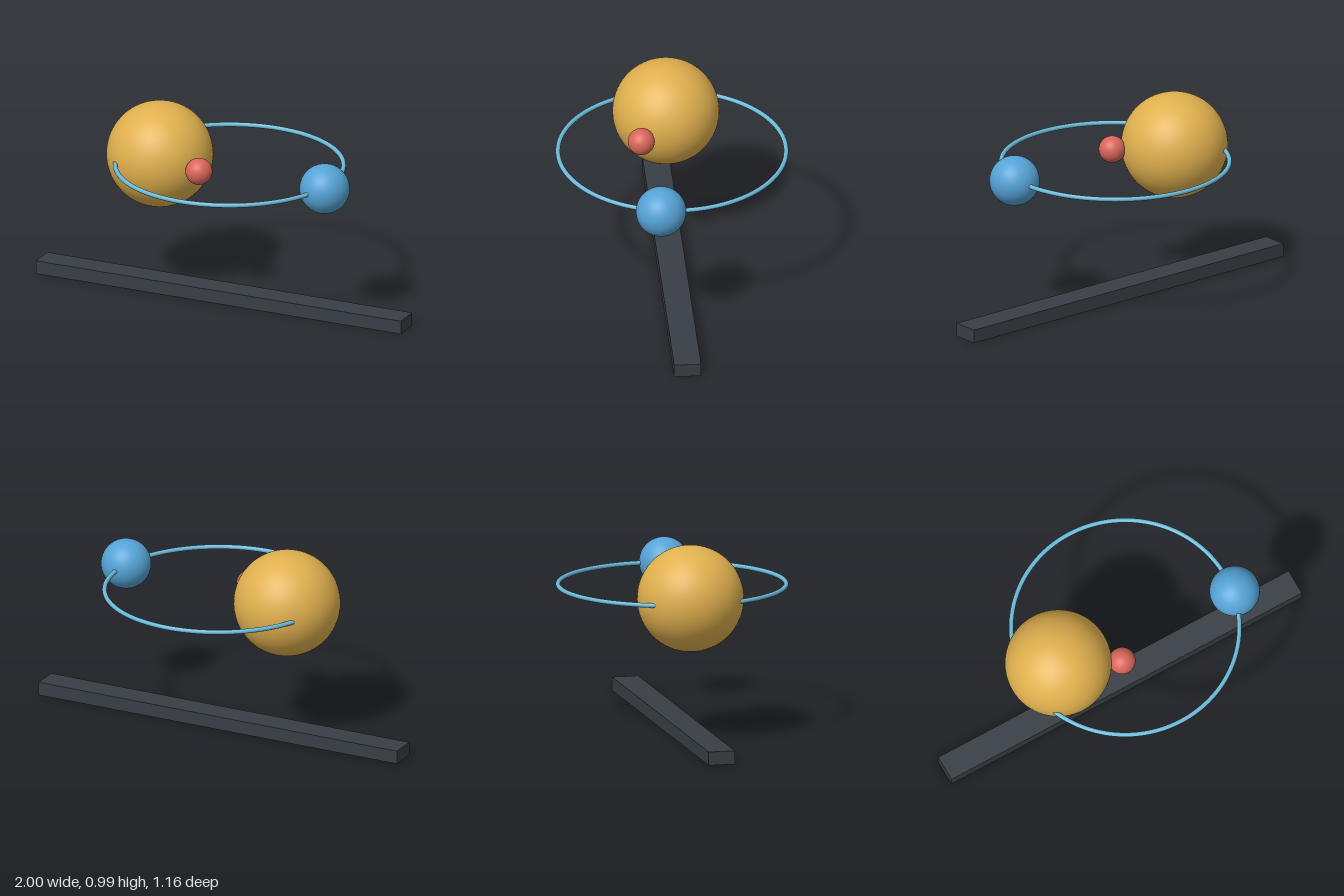
import * as THREE from 'three';

function paint(name, color) {
  const material = new THREE.MeshStandardMaterial({ color });
  material.name = name;
  return material;
}

export function createModel() {
  const model = new THREE.Group();
  const height = 0.72; // shared plane of the spheres and the orbit ring

  const add = (name, geometry, material, x, y, z) => {
    const mesh = new THREE.Mesh(geometry, material);
    mesh.name = name;
    mesh.position.set(x, y, z);
    model.add(mesh);
    return mesh;
  };

  // Base bar
  add('baseBar', new THREE.BoxGeometry(2, 0.068, 0.134), paint('charcoal', 0x383e45), 0, 0.034, 0);

  // Spheres: name, radius, material, x, z
  const spheres = [
    ['largeSphere', 0.266, paint('gold', 0xe0b04e), -0.352, 0],
    ['mediumSphere', 0.125, paint('blue', 0x55a3d6), 0.598, 0.1],
    ['smallSphere', 0.067, paint('coral', 0xd9665a), -0.07, 0.145],
  ];
  for (const [name, radius, material, x, z] of spheres) {
    add(name, new THREE.SphereGeometry(radius, 64, 40), material, x, height, z);
  }

  // Horizontal orbit ring
  const ring = new THREE.TorusGeometry(0.567, 0.0115, 16, 128);
  ring.rotateX(Math.PI / 2);
  add('orbitRing', ring, paint('pale blue', 0x6cbad8), 0.03, height, 0);

  return model;
}
